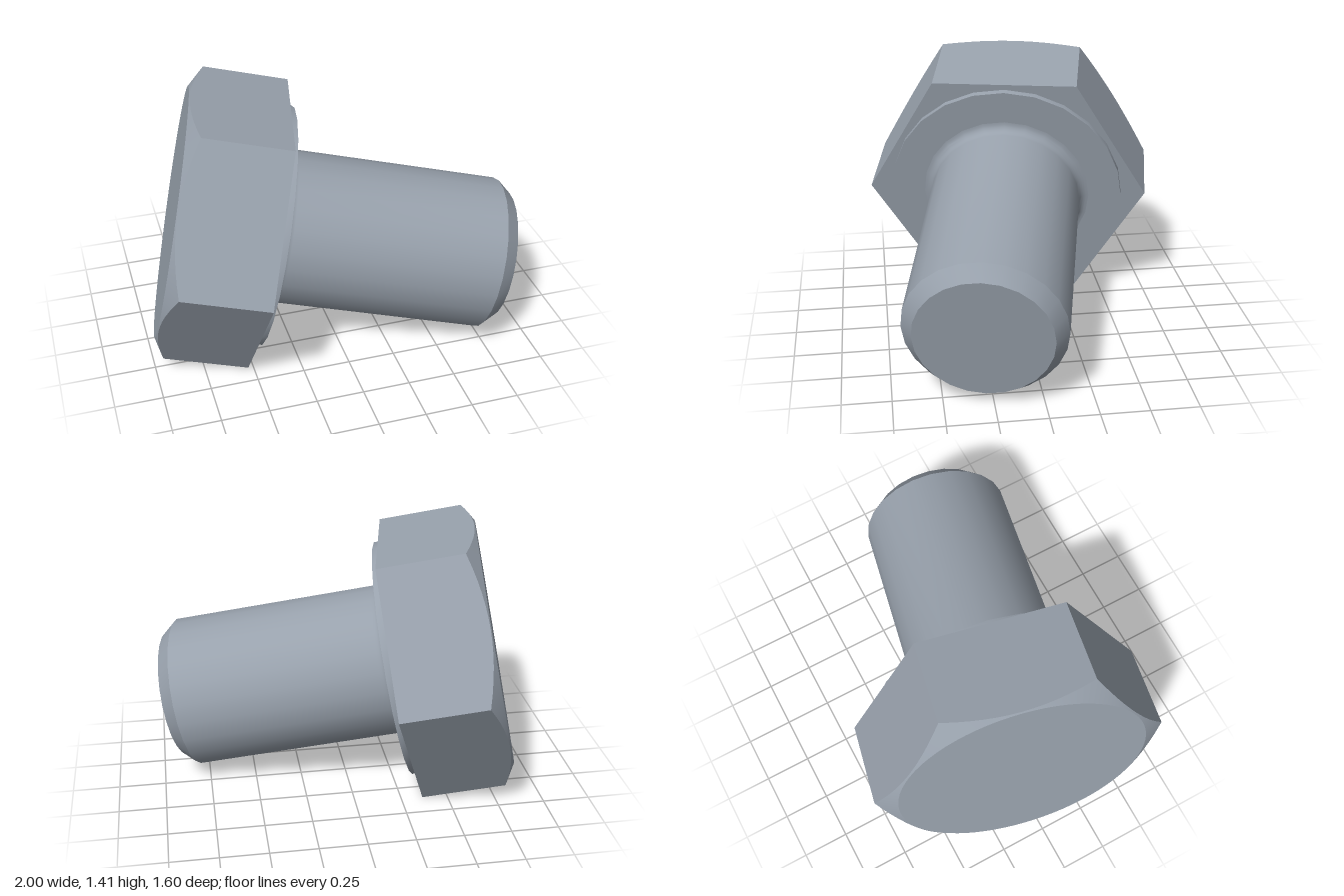
import * as THREE from 'three';
import { toCreasedNormals } from 'three/addons/utils/BufferGeometryUtils.js';

// Sizes along the bolt axis (local y), measured from the underside of the head
const HEAD_H = 0.515, CORNER_R = 0.772, FLAT_R = 0.66;
const WASHER_R = 0.64, WASHER_H = 0.035;
const SHANK_R = 0.41, FILLET = 0.05, TIP_Y = 1.268, TIP_R = 0.348, TIP_CHAMFER = 0.075;

const lathe = (points, segments) =>
  new THREE.LatheGeometry(points.map(([r, y]) => new THREE.Vector2(r, y)), segments);

// Hexagonal prism whose outer end is cut by a shallow cone
function hexHead() {
  const geo = lathe([[0, -HEAD_H], [FLAT_R, -HEAD_H], [CORNER_R, -0.4], [CORNER_R, 0], [0, 0]], 72);
  const pos = geo.attributes.position;
  const apothem = CORNER_R * Math.cos(Math.PI / 6);
  for (let i = 0; i < pos.count; i++) {
    const x = pos.getX(i), y = pos.getY(i), z = pos.getZ(i);
    const r = Math.hypot(x, z);
    if (r < FLAT_R + 0.01) continue;
    const sixth = Math.PI / 3;
    const a = Math.atan2(x, z) + Math.PI * 2;
    const rho = apothem / Math.cos((a % sixth) - sixth / 2);
    const newY = y < -0.01 ? -HEAD_H + (rho - FLAT_R) * Math.tan(Math.PI / 6) : 0;
    pos.setXYZ(i, x * rho / r, newY, z * rho / r);
  }
  return toCreasedNormals(geo, 0.35);
}

export function createModel() {
  const steel = new THREE.MeshStandardMaterial({ color: 0x98a1ac });
  steel.name = 'steel';

  const bolt = new THREE.Group();
  bolt.name = 'hexBolt';
  const add = (name, geometry) => {
    const mesh = new THREE.Mesh(geometry, steel);
    mesh.name = name;
    bolt.add(mesh);
  };

  add('hexHead', hexHead());

  // Raised round bearing face under the head
  add('washerFace', toCreasedNormals(
    lathe([[WASHER_R, 0], [WASHER_R, WASHER_H], [SHANK_R, WASHER_H]], 24), 0.5));

  // Shank with a root fillet and a chamfered tip
  const profile = [];
  for (let i = 0; i <= 6; i++) {
    const a = (i / 6) * Math.PI / 2;
    profile.push([SHANK_R + FILLET * (1 - Math.sin(a)), WASHER_H + FILLET * (1 - Math.cos(a))]);
  }
  profile.push([SHANK_R, TIP_Y - TIP_CHAMFER], [TIP_R, TIP_Y], [0, TIP_Y]);
  add('shank', toCreasedNormals(lathe(profile, 24), 0.5));

  // Lay the bolt over, resting on its tip and the rim of its head
  const axis = new THREE.Vector3(1, -0.21, 0.215).normalize();
  const corner = new THREE.Vector3(-axis.z, 0, axis.x).normalize();
  const side = new THREE.Vector3().crossVectors(axis, corner);
  bolt.quaternion.setFromRotationMatrix(new THREE.Matrix4().makeBasis(side, axis, corner));
  bolt.position.set(-0.315, 0.655, 0.045);

  const model = new THREE.Group();
  model.name = 'model';
  model.add(bolt);
  return model;
}
